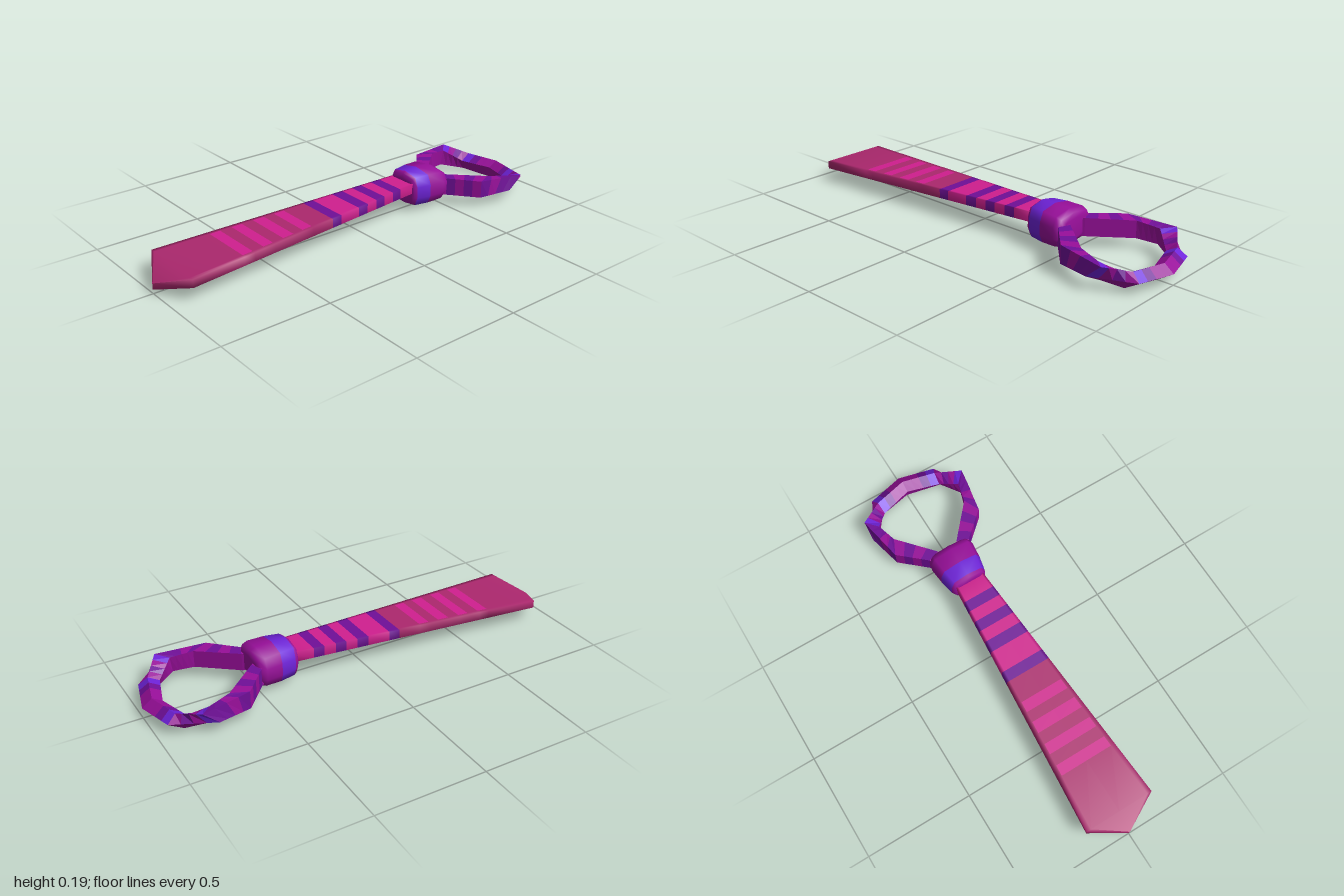
import * as THREE from 'three';

const mat = (name, color) => {
  const m = new THREE.MeshStandardMaterial({ color });
  m.name = name;
  return m;
};

// Skin a list of equal-sized rings; pick(i, j) gives the material index of each cell.
function loft(name, rings, materials, pick, { faceted = false, caps = 0 } = {}) {
  const n = rings[0].length;
  const lists = materials.map(() => []);
  for (let i = 0; i < rings.length - 1; i++) {
    for (let j = 0; j < n; j++) {
      const a = i * n + j, b = i * n + (j + 1) % n;
      lists[pick(i, j)].push(a, b, b + n, a, b + n, a + n);
    }
  }
  const last = (rings.length - 1) * n;
  for (let j = 1; j < n - 1; j++) {
    lists[caps].push(0, j + 1, j, last, last + j, last + j + 1);
  }
  let geo = new THREE.BufferGeometry();
  geo.setAttribute('position', new THREE.Float32BufferAttribute(rings.flat(2), 3));
  geo.setIndex(lists.flat());
  let start = 0;
  lists.forEach((list, k) => {
    if (list.length) geo.addGroup(start, list.length, k);
    start += list.length;
  });
  if (faceted) {
    const groups = geo.groups;
    geo = geo.toNonIndexed();
    geo.groups = groups;
  }
  geo.computeVertexNormals();
  const mesh = new THREE.Mesh(geo, materials);
  mesh.name = name;
  return mesh;
}

export function createModel() {
  const group = new THREE.Group();
  group.name = 'necktie';
  const rose = mat('dull rose', 0xac286e);
  const pink = mat('bright pink', 0xd01f8f);
  const purple = mat('deep purple', 0x700f98);
  const magenta = mat('magenta purple', 0x980f9a);
  const violet = mat('violet', 0x6e22d8);

  // Blade: flat tapering strip; each band is [start z, material index]
  const ROSE = 0, PINK = 1, PURPLE = 2;
  const bands = [
    [-0.36, PINK], [-0.24, PURPLE], [-0.19, PINK], [-0.135, PURPLE], [-0.085, PINK],
    [-0.03, PURPLE], [0.025, PINK], [0.13, PURPLE], [0.18, ROSE], [0.29, PINK],
    [0.34, ROSE], [0.39, PINK], [0.445, ROSE], [0.5, PINK], [0.55, ROSE],
    [0.605, PINK], [0.655, ROSE], [0.91, ROSE],
  ];
  const across = [-1, -0.87, 0, 0.87, 1];
  const bladeRing = (z, w, low, high) => [
    ...across.map((s) => [s * w, low, z]),
    ...[...across].reverse().map((s) => [s * w, high, z]),
  ];
  const bladeRings = bands.map(([z]) => {
    const t = (z + 0.33) / 1.24;
    return bladeRing(z, 0.07 + 0.095 * t, 0.1 - 0.032 * t, 0.147 - 0.042 * t);
  });
  const tip = bladeRing(1, 0.002, 0.022, 0.05);
  bladeRings.push(tip);
  group.add(loft('blade', bladeRings, [rose, pink, purple], (i, j) => {
    if (i >= bands.length) return ROSE;
    // lower stripes stop short of the edges
    const edge = [0, 3, 4, 5, 8, 9].includes(j);
    return bands[i][0] > 0.2 && edge ? ROSE : bands[i][1];
  }));

  // Knot: rounded, ridged collar widening to the back
  const half = [[0.09, 0.035], [0.11, 0.075], [0.11, 0.13], [0.088, 0.175]];
  const section = [
    [0, 0.025], ...half, [0, 0.19],
    ...[...half].reverse().map(([x, y]) => [-x, y]),
  ];
  const knotSteps = [
    [-0.517, 0.75, 0.55], [-0.505, 0.97, 0.8], [-0.48, 1, 0.95], [-0.405, 0.93, 1],
    [-0.335, 0.8, 0.97], [-0.322, 0.74, 0.85], [-0.313, 0.62, 0.6],
  ];
  const knotRings = knotSteps.map(([z, sx, sy]) =>
    section.map(([x, y]) => [x * sx, 0.108 + (y - 0.108) * sy, z]));
  group.add(loft('knot', knotRings, [magenta, violet], (i) => (i === 3 ? 1 : 0)));

  // Neck loop: four-sided band, corners run outer low, inner low, inner high, outer high
  const side = [
    [[0.075, 0.06, -0.46], [0.02, 0.06, -0.48], [0.02, 0.135, -0.48], [0.075, 0.135, -0.46]],
    [[0.105, 0.055, -0.505], [0.05, 0.055, -0.525], [0.05, 0.138, -0.525], [0.105, 0.138, -0.505]],
    [[0.225, 0.05, -0.615], [0.19, 0.05, -0.69], [0.19, 0.13, -0.69], [0.225, 0.132, -0.615]],
    [[0.265, 0.06, -0.77], [0.22, 0.04, -0.78], [0.215, 0.115, -0.79], [0.265, 0.122, -0.84]],
    [[0.17, 0.055, -0.955], [0.165, 0.012, -0.885], [0.15, 0.06, -0.865], [0.155, 0.088, -0.915]],
  ];
  const back = [[0, 0.05, -1], [0, 0.003, -0.925], [0, 0.058, -0.91], [0, 0.085, -0.955]];
  const mirrored = [...side].reverse().map((r) => r.map(([x, y, z]) => [-x, y, z]));
  const stations = [...side, back, ...mirrored];
  const pieces = 4;
  const loopRings = [stations[0]];
  for (let s = 1; s < stations.length; s++) {
    for (let k = 1; k <= pieces; k++) {
      loopRings.push(stations[s].map((p, c) =>
        p.map((v, d) => THREE.MathUtils.lerp(stations[s - 1][c][d], v, k / pieces))));
    }
  }
  // stripe pattern from the knot to the back: m magenta, p purple, v violet
  const pattern = 'mmmm' + 'pmpm' + 'pmpp' + 'vmpm' + 'vpmm';
  group.add(loft('neckLoop', loopRings, [magenta, purple, violet], (i, j) => {
    const step = i < pattern.length ? i : 2 * pattern.length - 1 - i;
    return j >= 2 ? 'mpv'.indexOf(pattern[step]) : 0;
  }, { faceted: true }));

  return group;
}
